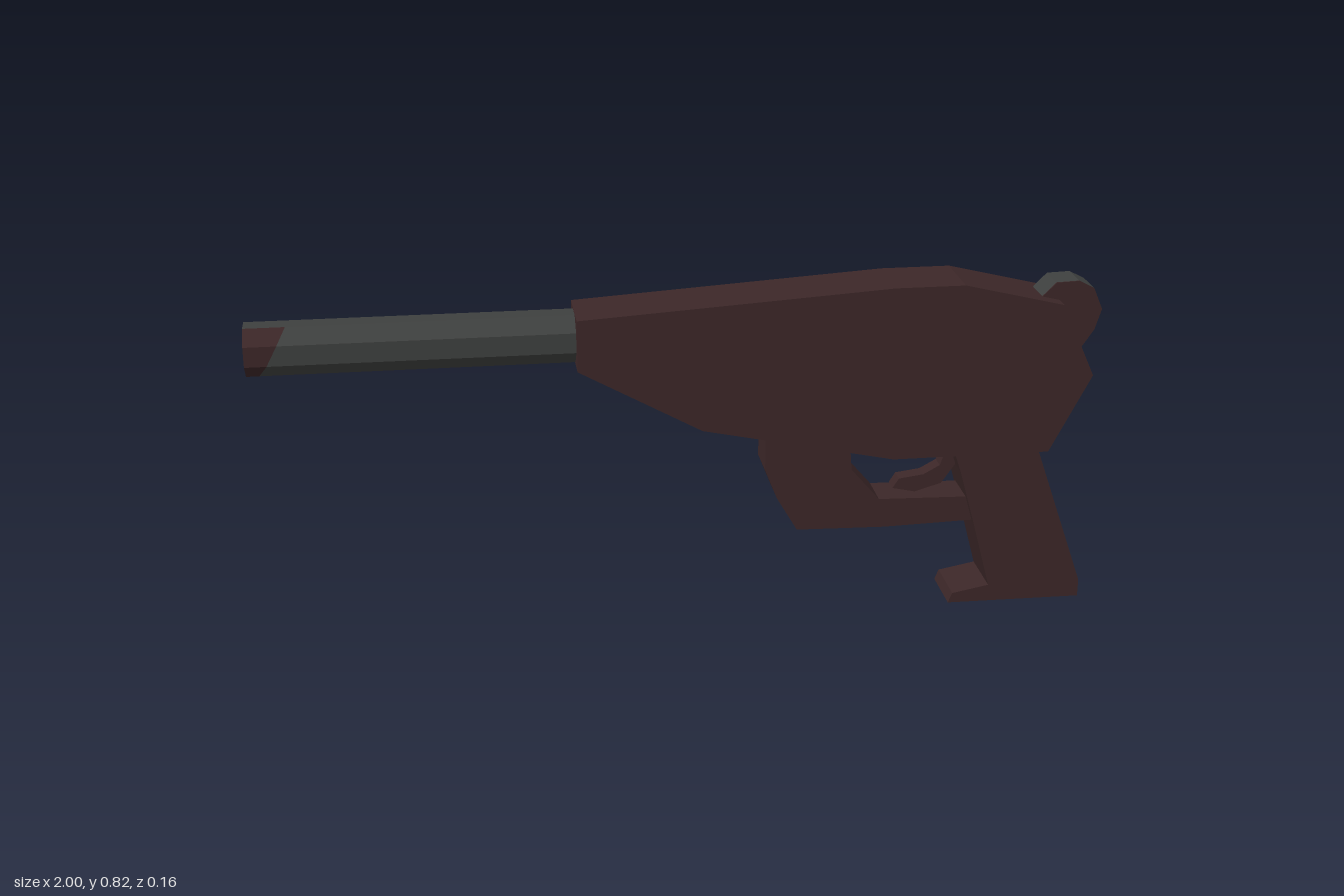
import * as THREE from 'three';

const brown = new THREE.MeshStandardMaterial({ color: 0x3c2728 });
brown.name = 'dark brown';
const grey = new THREE.MeshStandardMaterial({ color: 0x3e403f });
grey.name = 'dark grey';

// Flat side profile extruded from z0 to z1
function slab(name, points, z0, z1, material) {
  const shape = new THREE.Shape(points.map(([x, y]) => new THREE.Vector2(x, y)));
  const geometry = new THREE.ExtrudeGeometry(shape, { depth: z1 - z0, bevelEnabled: false });
  geometry.translate(0, 0, z0);
  const mesh = new THREE.Mesh(geometry, material);
  mesh.name = name;
  return mesh;
}

// Mesh from a list of triangles
function faces(name, triangles, material) {
  const geometry = new THREE.BufferGeometry().setFromPoints(triangles);
  geometry.computeVertexNormals();
  const mesh = new THREE.Mesh(geometry, material);
  mesh.name = name;
  return mesh;
}

// Eight-sided barrel: each side is brown from the muzzle up to a cut, then grey
function barrel() {
  const group = new THREE.Group();
  group.name = 'barrel';
  const tip = -1, root = -0.2, radius = 0.0575 / Math.cos(Math.PI / 8);
  const cuts = [
    [-0.95, -0.925], [-0.925, -0.905], [tip, tip], [tip, tip],
    [root, root], [root, root], [-0.85, -0.97], [-0.97, -0.95],
  ];
  const at = (x, k) => {
    const a = (k - 0.5) * Math.PI / 4;
    return new THREE.Vector3(x, 0.718 + radius * Math.sin(a), radius * Math.cos(a));
  };
  const brownTris = [], greyTris = [];
  const quad = (list, k, a0, b0, b1, a1) => {
    if (a0 === b0 && a1 === b1) return;
    list.push(at(a0, k), at(b0, k), at(b1, k + 1), at(a0, k), at(b1, k + 1), at(a1, k + 1));
  };
  cuts.forEach(([c0, c1], k) => {
    quad(brownTris, k, tip, c0, c1, tip);
    quad(greyTris, k, c0, root, root, c1);
    // muzzle cap
    greyTris.push(new THREE.Vector3(tip, 0.718, 0), at(tip, k), at(tip, k + 1));
  });
  group.add(faces('barrelShell', greyTris, grey), faces('barrelPaint', brownTris, brown));
  return group;
}

export function createModel() {
  const model = new THREE.Group();
  model.name = 'toyPistol';

  const body = [
    [-0.25, 0.655], [0.04, 0.495], [0.5, 0.398], [0.88, 0.398], [0.977, 0.588],
    [0.895, 0.767], [0.655, 0.825], [0.49, 0.825], [-0.25, 0.778],
  ];
  const grip = [
    [0.655, 0.003], [0.985, 0.001], [0.985, 0.045], [0.855, 0.41], [0.65, 0.41],
    [0.67, 0.35], [0.71, 0.21], [0.755, 0.045], [0.665, 0.028],
  ];
  const guard = [
    [0.195, 0.47], [0.195, 0.375], [0.225, 0.3], [0.275, 0.215], [0.49, 0.21],
    [0.72, 0.216], [0.71, 0.278], [0.475, 0.284], [0.405, 0.365], [0.4, 0.43],
  ];
  const trigger = [
    [0.515, 0.298], [0.57, 0.286], [0.635, 0.305], [0.68, 0.37], [0.69, 0.41],
    [0.65, 0.41], [0.63, 0.352], [0.59, 0.33], [0.53, 0.322],
  ];
  const hammer = [
    [0.85, 0.775], [0.87, 0.7], [0.92, 0.645], [0.955, 0.645], [0.985, 0.69],
    [1, 0.74], [0.977, 0.793], [0.94, 0.812], [0.885, 0.81],
  ];

  model.add(
    slab('body', body, -0.079, 0.079, brown),
    slab('grip', grip, -0.068, 0.068, brown),
    slab('triggerGuard', guard, -0.05, 0.05, brown),
    slab('trigger', trigger, -0.02, 0.02, brown),
    slab('hammer', hammer, -0.04, 0.037, grey),
    slab('hammerSidePlate', hammer, 0.037, 0.04, brown),
    barrel(),
  );
  return model;
}
